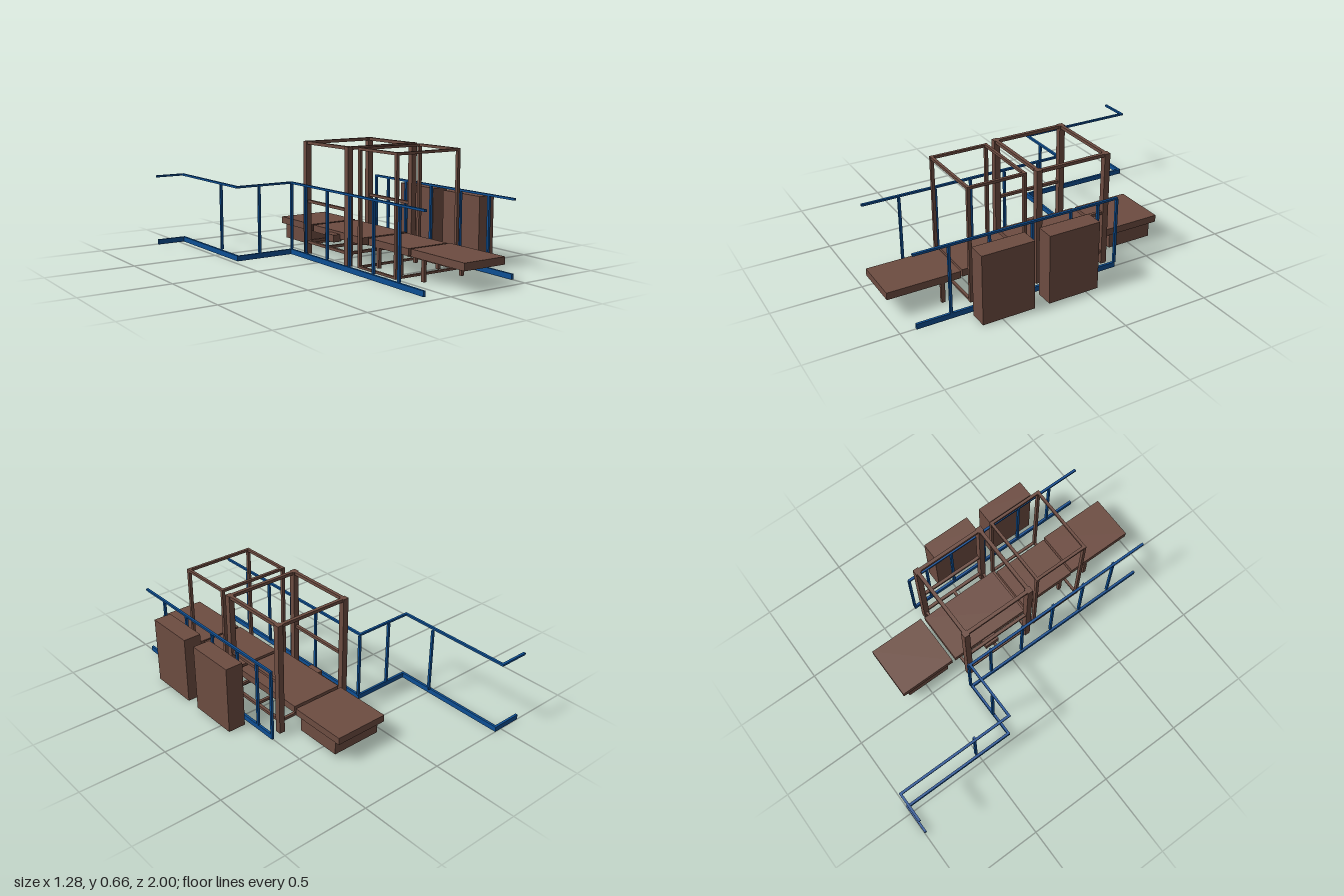
import * as THREE from 'three';

const brown = new THREE.MeshStandardMaterial({ color: 0x6d4c41 });
const blue = new THREE.MeshStandardMaterial({ color: 0x0d4f94 });

// Box given by its extents along x, y and z
function block(parent, name, material, [x0, x1], [y0, y1], [z0, z1]) {
  const mesh = new THREE.Mesh(new THREE.BoxGeometry(x1 - x0, y1 - y0, z1 - z0), material);
  mesh.position.set((x0 + x1) / 2, (y0 + y1) / 2, (z0 + z1) / 2);
  mesh.name = name;
  parent.add(mesh);
}

const around = (c, w) => [c - w / 2, c + w / 2];

function group(parent, name) {
  const g = new THREE.Group();
  g.name = name;
  parent.add(g);
  return g;
}

// Fence: floor and hand rails along a path of [x, z] corners, with thin posts
function fence(parent, name, path, posts) {
  const g = group(parent, name);
  for (let i = 0; i + 1 < path.length; i++) {
    const [ax, az] = path[i], [bx, bz] = path[i + 1], h = 0.007;
    const xs = [Math.min(ax, bx) - h, Math.max(ax, bx) + h];
    const zs = [Math.min(az, bz) - h, Math.max(az, bz) + h];
    block(g, 'floorRail', blue, xs, [0, 0.03], zs);
    block(g, 'handRail', blue, xs, [0.416, 0.428], zs);
  }
  for (const [x, z] of posts) block(g, 'fencePost', blue, around(x, 0.014), [0.03, 0.416], around(z, 0.014));
}

// Gantry: four corner posts joined by a ring of beams at each given height
function gantry(parent, name, xs, zs, post, beam, rings) {
  const g = group(parent, name);
  for (const x of xs) for (const z of zs)
    block(g, 'gantryPost', brown, around(x, post), [0, 0.663], around(z, post));
  for (const [y0, y1] of rings) {
    for (const x of xs) block(g, 'sideBeam', brown, around(x, beam), [y0, y1], zs);
    for (const z of zs) block(g, 'crossBeam', brown, xs, [y0, y1], around(z, beam));
  }
  return g;
}

export function createModel() {
  const model = new THREE.Group();
  model.name = 'productionLine';

  // Safety fences on both sides
  fence(model, 'longFence',
    [[-0.63, -0.993], [-0.462, -0.993], [-0.462, -0.29], [-0.107, -0.29], [-0.107, 0.922]],
    [[-0.448, -0.51], [-0.318, -0.295], [-0.1, -0.295],
      ...[-0.145, 0.075, 0.29, 0.505, 0.72].map(z => [-0.098, z])]);
  fence(model, 'shortFence', [[0.5, -0.272], [0.5, 0.905]],
    [-0.275, -0.155, 0.015, 0.245, 0.495, 0.72].map(z => [0.502, z]));

  // Large gantry with side rails and a support bar for the drive
  const large = gantry(model, 'largeGantry', [-0.02, 0.425], [-0.248, 0.168], 0.034, 0.02, [[0.645, 0.663]]);
  for (const x of [-0.02, 0.425]) for (const y of [0.072, 0.313])
    block(large, 'sideRail', brown, around(x, 0.018), around(y, 0.016), [-0.248, 0.168]);
  for (const z of [-0.248, -0.04, 0.168])
    block(large, 'supportBar', brown, [-0.02, 0.425], around(z, 0.016), [0, 0]) || 0;
  large.children.splice(-3);
  for (const z of [-0.248, -0.04, 0.168])
    block(large, 'supportBar', brown, [-0.02, 0.425], [0.064, 0.08], around(z, 0.016));
  block(large, 'driveUnit', brown, [0.005, 0.055], [0.1, 0.142], [-0.105, -0.015]);

  // Small gantry with a ring of floor beams
  gantry(model, 'smallGantry', [0.004, 0.417], [0.243, 0.564], 0.018, 0.016, [[0, 0.012], [0.648, 0.663]]);

  // Conveyor tables from back to front
  const tables = [
    ['backTable', [0.05, 0.368], [-0.655, -0.312]],
    ['middleTable', [0.05, 0.36], [-0.292, 0.202]],
    ['innerTable', [0.077, 0.345], [0.222, 0.574]],
    ['frontTable', [0.083, 0.355], [0.586, 1]],
  ];
  for (const [name, xs, zs] of tables) block(model, name, brown, xs, [0.115, 0.156], zs);
  block(model, 'backTableBase', brown, [0.06, 0.358], [0.028, 0.115], [-0.617, -0.343]);

  // Table legs
  for (const x of [0.087, 0.345]) for (const z of [0.305, 0.5, 0.69])
    block(model, 'tableLeg', brown, around(x, 0.018), [0, 0.115], around(z, 0.022));

  // Control cabinets
  for (const zs of [[-0.075, 0.225], [0.312, 0.612]])
    block(model, 'controlCabinet', brown, [0.535, 0.64], [0, 0.397], zs);

  return model;
}
